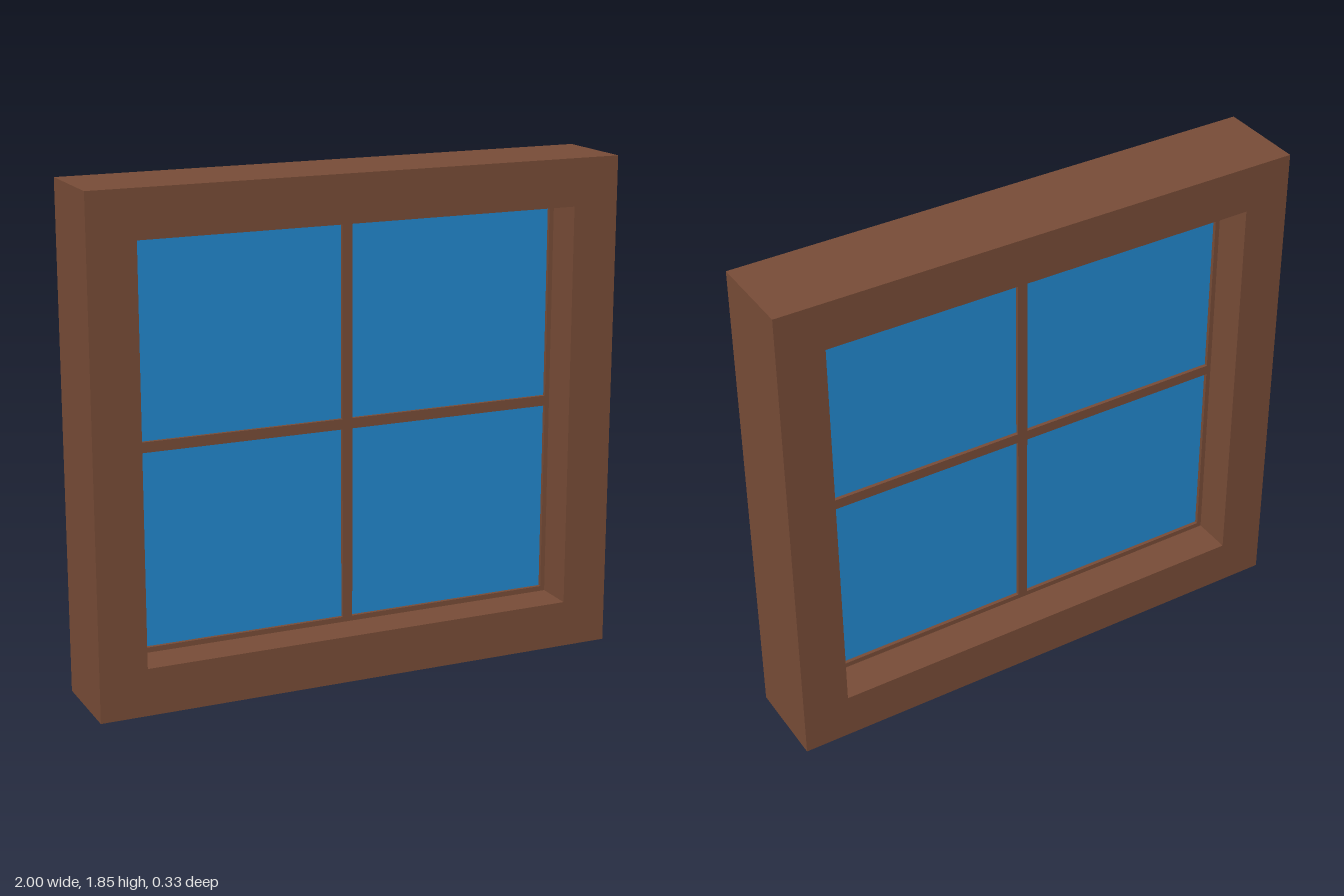
import * as THREE from 'three';

const WIDTH = 2, HEIGHT = 1.848, MID = HEIGHT / 2;

// Rectangular ring with a rectangular hole, centred on the window
function ring(name, w, h, innerW, innerH, depth, material) {
  const rect = (target, a, b) => {
    target.moveTo(-a / 2, -b / 2);
    target.lineTo(a / 2, -b / 2);
    target.lineTo(a / 2, b / 2);
    target.lineTo(-a / 2, b / 2);
    target.closePath();
    return target;
  };
  const shape = rect(new THREE.Shape(), w, h);
  shape.holes.push(rect(new THREE.Path(), innerW, innerH));
  const geometry = new THREE.ExtrudeGeometry(shape, { depth, bevelEnabled: false });
  geometry.translate(0, MID, -depth / 2);
  const mesh = new THREE.Mesh(geometry, material);
  mesh.name = name;
  return mesh;
}

function box(name, w, h, d, x, y, material) {
  const mesh = new THREE.Mesh(new THREE.BoxGeometry(w, h, d), material);
  mesh.position.set(x, y, 0);
  mesh.name = name;
  return mesh;
}

export function createModel() {
  const wood = new THREE.MeshStandardMaterial({ color: 0x784c37 });
  wood.name = 'brown wood';
  const blue = new THREE.MeshStandardMaterial({ color: 0x2288cf });
  blue.name = 'blue glass';

  const model = new THREE.Group();
  model.name = 'window';

  const openW = 1.65, openH = 1.5, paneW = 1.615, paneH = 1.462;
  const sashDepth = 0.036, barWidth = 0.038;

  // Deep outer frame and the slim sash in the middle of its opening
  model.add(ring('outerFrame', WIDTH, HEIGHT, openW, openH, 0.332, wood));
  model.add(ring('sash', openW, openH, paneW, paneH, sashDepth, wood));

  // Crossing glazing bars
  model.add(box('verticalBar', barWidth, paneH, sashDepth, 0, MID, wood));
  for (const side of [-1, 1]) {
    const length = (paneW - barWidth) / 2;
    model.add(box('horizontalBar', length, barWidth, sashDepth, side * (barWidth + length) / 2, MID, wood));
  }

  // Four glass panes
  const w = (paneW - barWidth) / 2, h = (paneH - barWidth) / 2;
  for (const sx of [-1, 1]) for (const sy of [-1, 1]) {
    model.add(box('glassPane', w, h, 0.009, sx * (barWidth + w) / 2, MID + sy * (barWidth + h) / 2, blue));
  }
  return model;
}
